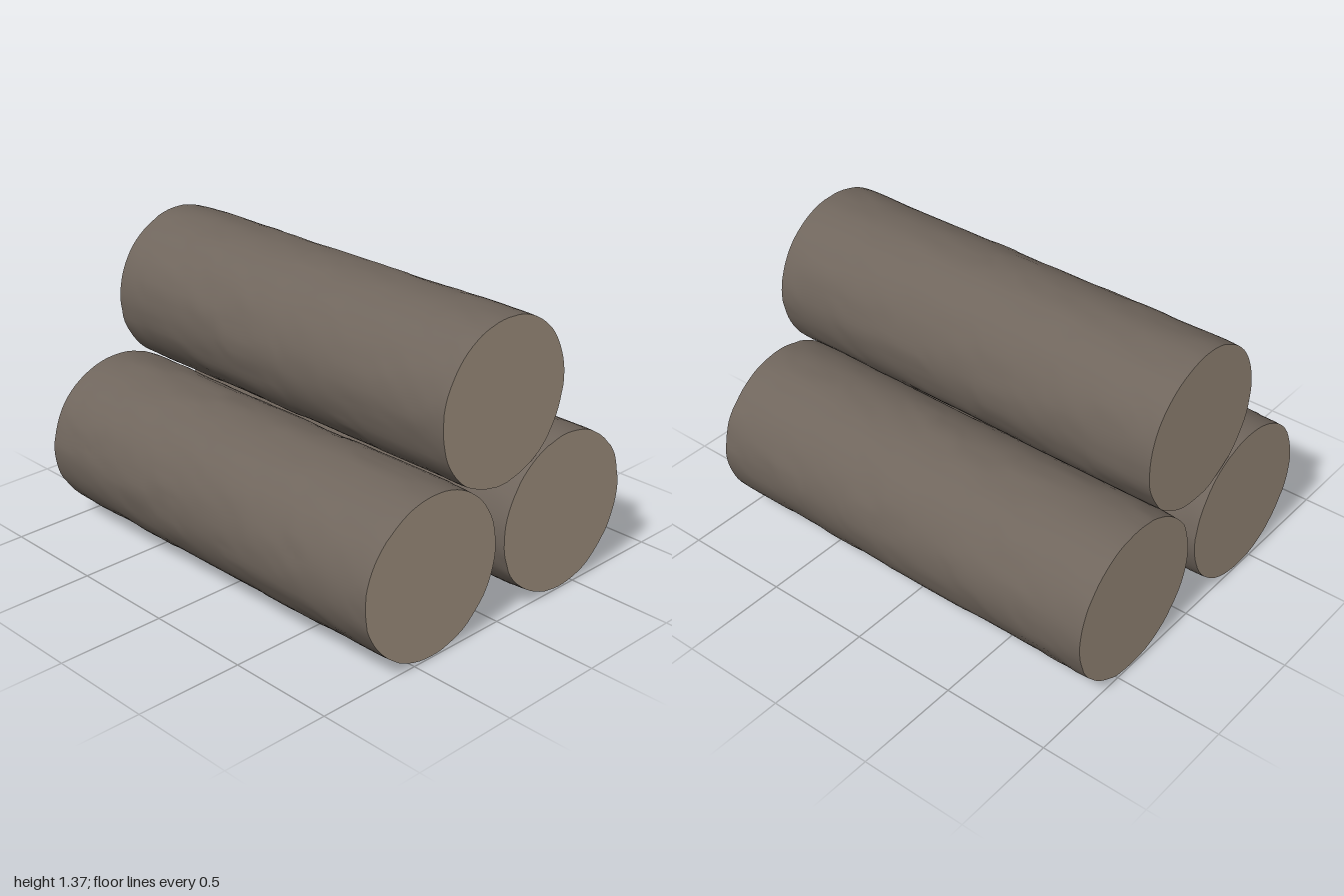
import * as THREE from 'three';
import { mergeVertices } from 'three/addons/utils/BufferGeometryUtils.js';

const SIDES = 72, RINGS = 64, HALF = 1;

// Repeatable hash in 0..1
function hash(i, j, seed) {
  const s = Math.sin(i * 127.1 + j * 311.7 + seed * 74.7) * 43758.5453;
  return s - Math.floor(s);
}

// Value noise, periodic around the log (cells = cells per turn)
function noise(along, turn, cells, seed) {
  const b = turn * cells;
  const i = Math.floor(along), j = Math.floor(b);
  const f = along - i, g = b - j;
  const u = f * f * (3 - 2 * f), v = g * g * (3 - 2 * g);
  const h = (p, q) => hash(p, ((q % cells) + cells) % cells, seed);
  return THREE.MathUtils.lerp(
    THREE.MathUtils.lerp(h(i, j), h(i + 1, j), u),
    THREE.MathUtils.lerp(h(i, j + 1), h(i + 1, j + 1), u), v);
}

// Radius factor of the bark: soft swells, lengthwise flakes, worn ends
function barkFactor(x, turn, seed) {
  const swell = noise(x * 1.3 + 10, turn, 7, seed) - 0.5;
  const flake = noise(x * 5 + 20, turn, 24, seed + 5);
  const step = THREE.MathUtils.smoothstep(flake, 0.5, 0.62);
  const fine = noise(x * 12 + 40, turn, 36, seed + 9) - 0.5;
  const worn = THREE.MathUtils.smoothstep(Math.abs(x), 0.95, 1);
  return 0.988 + swell * 0.016 + step * 0.009 + fine * 0.007 - worn * 0.008;
}

function makeLog(name, y, z, ry, rz, seed, bark, wood) {
  const log = new THREE.Group();
  log.name = name;
  log.position.set(0, y, z);

  // Bark tube lying along x
  let tube = new THREE.CylinderGeometry(1, 1, 2 * HALF, SIDES, RINGS, true);
  tube.rotateZ(-Math.PI / 2);
  const p = tube.attributes.position;
  const rims = [[], []];
  for (let i = 0; i < p.count; i++) {
    const col = (i % (SIDES + 1)) % SIDES;
    const row = Math.floor(i / (SIDES + 1));
    const x = p.getX(i);
    const k = barkFactor(x, col / SIDES, seed);
    p.setXYZ(i, x, p.getY(i) * ry * k, p.getZ(i) * rz * k);
    if (i % (SIDES + 1) < SIDES && (row === 0 || row === RINGS)) {
      rims[x > 0 ? 1 : 0].push([p.getY(i), p.getZ(i)]);
    }
  }
  tube.deleteAttribute('uv');
  tube.deleteAttribute('normal');
  tube = mergeVertices(tube, 1e-5);
  tube.computeVertexNormals();
  const barkMesh = new THREE.Mesh(tube, bark);
  barkMesh.name = 'bark';
  log.add(barkMesh);

  // Sawn ends following the bark rim
  rims.forEach((rim, n) => {
    const side = n ? 1 : -1;
    const outline = new THREE.Shape(rim.map(([py, pz]) => new THREE.Vector2(-side * pz, py)));
    const end = new THREE.ShapeGeometry(outline);
    end.rotateY(side * Math.PI / 2);
    end.translate(side * HALF, 0, 0);
    const mesh = new THREE.Mesh(end, wood);
    mesh.name = side > 0 ? 'leftSawnEnd' : 'rightSawnEnd';
    log.add(mesh);
  });
  return log;
}

export function createModel() {
  const bark = new THREE.MeshStandardMaterial({ color: 0x6f655c });
  bark.name = 'bark brown';
  const wood = new THREE.MeshStandardMaterial({ color: 0xb3a28f });
  wood.name = 'cut wood';

  const pile = new THREE.Group();
  pile.name = 'logPile';
  pile.add(
    makeLog('frontLog', 0.375, 0.405, 0.37, 0.383, 1, bark, wood),
    makeLog('backLog', 0.375, -0.403, 0.37, 0.383, 2, bark, wood),
    makeLog('topLog', 1.004, 0.007, 0.367, 0.369, 3, bark, wood)
  );
  return pile;
}
